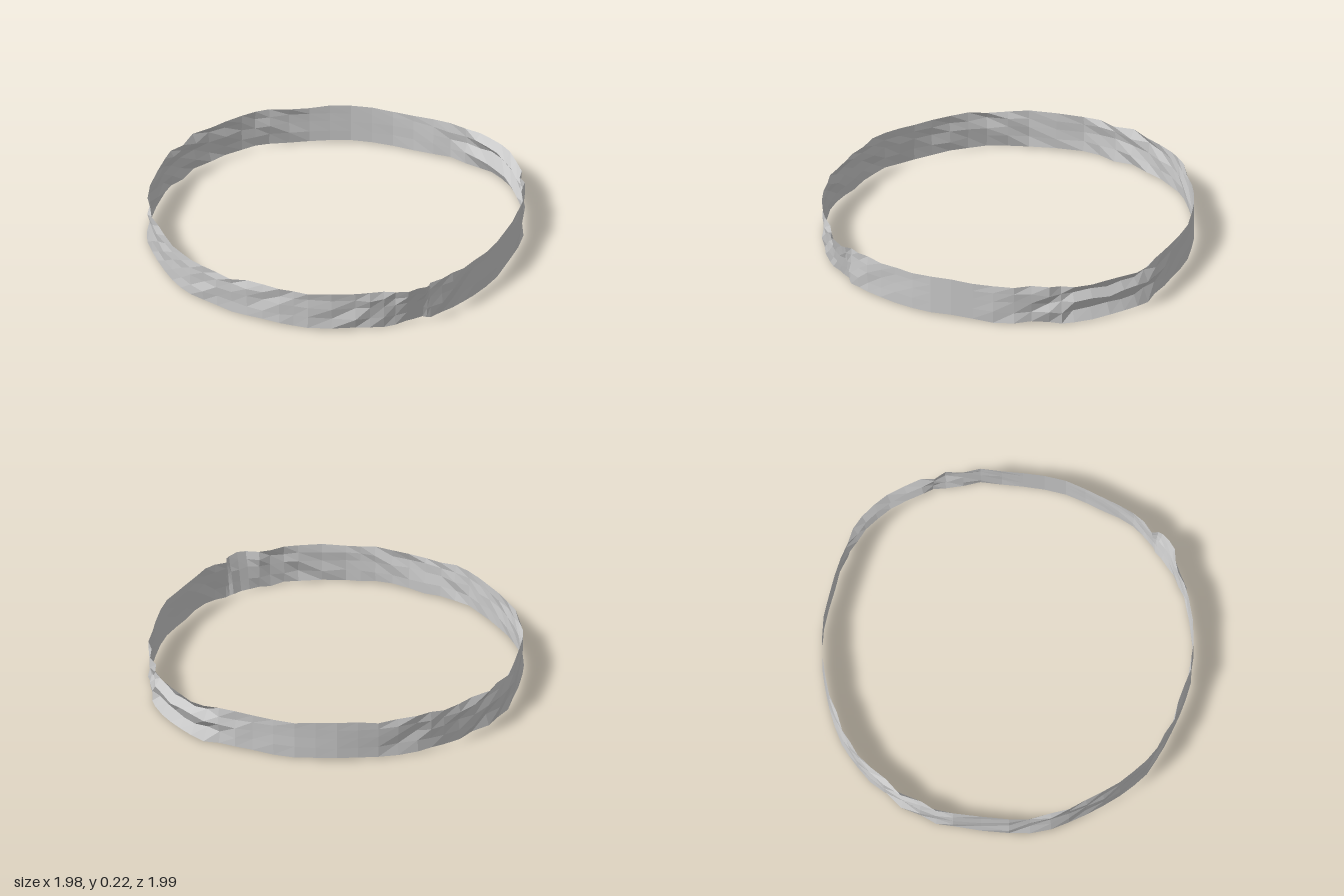
import * as THREE from 'three';

// Plan outline of the band: x, z, and how far its wall wobbles in and out
const outline = [
  [-0.05, -0.985, 0.005], [0.1, -0.96, 0.014], [0.3, -0.9, 0.003], [0.49, -0.8, 0], [0.66, -0.66, 0.003],
  [0.8, -0.48, 0.01], [0.9, -0.32, 0.02], [0.962, -0.17, 0.016], [0.973, 0, 0.017], [0.94, 0.19, 0.016],
  [0.895, 0.31, 0.018], [0.81, 0.47, 0.012], [0.66, 0.63, 0], [0.49, 0.78, 0], [0.3, 0.88, 0.004],
  [0.14, 0.95, 0.006], [0, 0.965, 0.005], [-0.04, 0.967, 0.02], [-0.14, 0.967, 0.02], [-0.26, 0.945, 0.012],
  [-0.4, 0.895, 0.012], [-0.61, 0.765, 0.005], [-0.72, 0.66, 0.008], [-0.83, 0.51, 0.012], [-0.92, 0.35, 0.012],
  [-0.978, 0.18, 0.01], [-0.99, 0, 0.004], [-0.968, -0.2, 0.012], [-0.915, -0.39, 0.014],
  [-0.81, -0.58, 0.01], [-0.61, -0.79, 0.01], [-0.46, -0.89, 0.022], [-0.25, -0.96, 0.016],
];
const heights = [0.02, 0.078, 0.135, 0.182, 0.224];

function seeded(seed) {
  return () => {
    seed = (seed * 16807) % 2147483647;
    return (seed / 2147483647) * 2 - 1;
  };
}

// Double the columns so that the wobbly stretches have small facets
function columns() {
  return outline.flatMap((a, i) => {
    const b = outline[(i + 1) % outline.length];
    const mid = a.map((v, k) => (v + b[k]) / 2);
    return [a, [mid[0] * 1.004, mid[1] * 1.004, mid[2]]];
  });
}

function bandGeometry() {
  const random = seeded(4127);
  const cols = columns();
  const rows = heights.length;
  const positions = [];
  const index = [];
  cols.forEach(([x, z, wobble], i) => {
    const radius = Math.hypot(x, z);
    const edge = 0.006 * Math.sin(i * 1.3);
    heights.forEach((y, j) => {
      let offset = wobble * 0.8 * random();
      // Pleats on the left side
      if (x > 0.93) offset = wobble * (j % 2 ? -0.9 : 0.9);
      // Flared upper edge at the front
      if (z > 0.9 && x < -0.02 && x > -0.2) offset = wobble * (j - 1.2) * 0.6;
      const s = 1 + offset / radius;
      const onEdge = j === 0 || j === rows - 1;
      const lift = onEdge ? edge + 0.004 * random() : wobble * 0.5 * random();
      positions.push(x * s, y + lift, z * s);
    });
    const next = (i + 1) % cols.length;
    for (let j = 0; j < rows - 1; j++) {
      const a = i * rows + j, b = next * rows + j;
      index.push(a, a + 1, b, b, a + 1, b + 1);
    }
  });
  const geometry = new THREE.BufferGeometry();
  geometry.setAttribute('position', new THREE.Float32BufferAttribute(positions, 3));
  geometry.setIndex(index);
  geometry.computeVertexNormals();
  return geometry;
}

export function createModel() {
  const group = new THREE.Group();
  group.name = 'crumpledRing';
  const material = new THREE.MeshStandardMaterial({
    color: 0xcccccc, flatShading: true, side: THREE.DoubleSide,
  });
  const band = new THREE.Mesh(bandGeometry(), material);
  band.name = 'band';
  group.add(band);
  return group;
}
